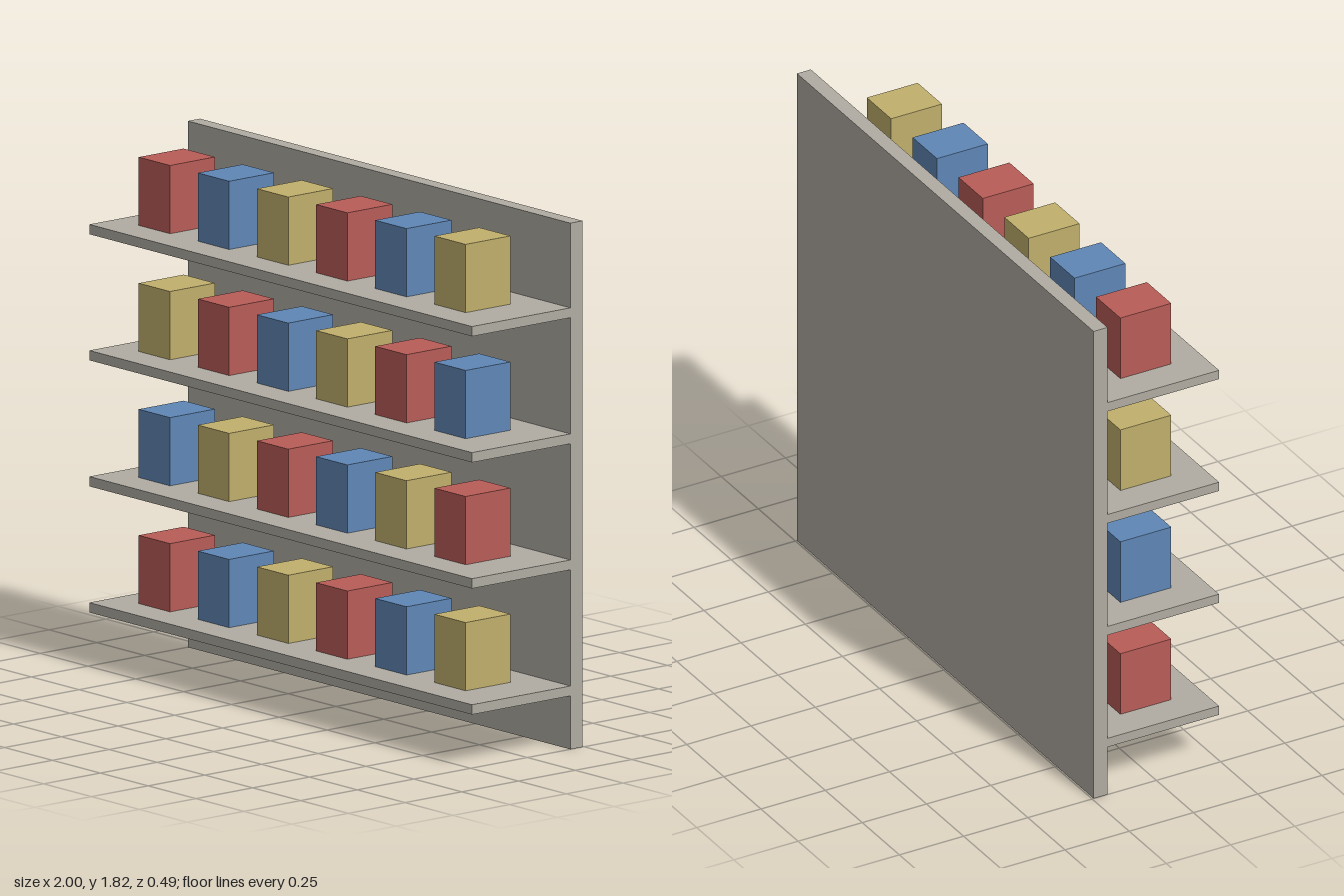
import * as THREE from 'three';

const paint = (name, color) => {
  const m = new THREE.MeshStandardMaterial({ color });
  m.name = name;
  return m;
};

export function createModel() {
  const grey = paint('warm grey', 0xb0aca2);
  const red = paint('red', 0xb85c57);
  const blue = paint('blue', 0x5f86b5);
  const yellow = paint('yellow', 0xc0af6c);

  const model = new THREE.Group();
  model.name = 'displayShelf';

  const addBox = (parent, name, material, size, position) => {
    const mesh = new THREE.Mesh(new THREE.BoxGeometry(...size), material);
    mesh.name = name;
    mesh.position.set(...position);
    parent.add(mesh);
  };

  // Upright back panel
  const height = 1.82, halfDepth = 0.244, panelDepth = 0.054;
  addBox(model, 'backPanel', grey, [2, height, panelDepth], [0, height / 2, -halfDepth + panelDepth / 2]);

  // Shelves, each carrying a row of boxes in a repeating colour order
  const shelfDepth = 2 * halfDepth - panelDepth, shelfThickness = 0.034;
  const boxSize = [0.164, 0.236, 0.198];
  const rows = [
    [red, blue, yellow],
    [blue, yellow, red],
    [yellow, red, blue],
    [red, blue, yellow],
  ];
  rows.forEach((colors, row) => {
    const tier = new THREE.Group();
    tier.name = `tier${row + 1}`;
    tier.position.y = 0.219 + row * 0.436;
    model.add(tier);
    addBox(tier, 'shelf', grey, [2, shelfThickness, shelfDepth], [0, -shelfThickness / 2, panelDepth / 2]);
    for (let i = 0; i < 6; i++) {
      addBox(tier, `box${i + 1}`, colors[i % 3], boxSize, [-0.8 + i * 0.309, boxSize[1] / 2, 0.027]);
    }
  });

  return model;
}
